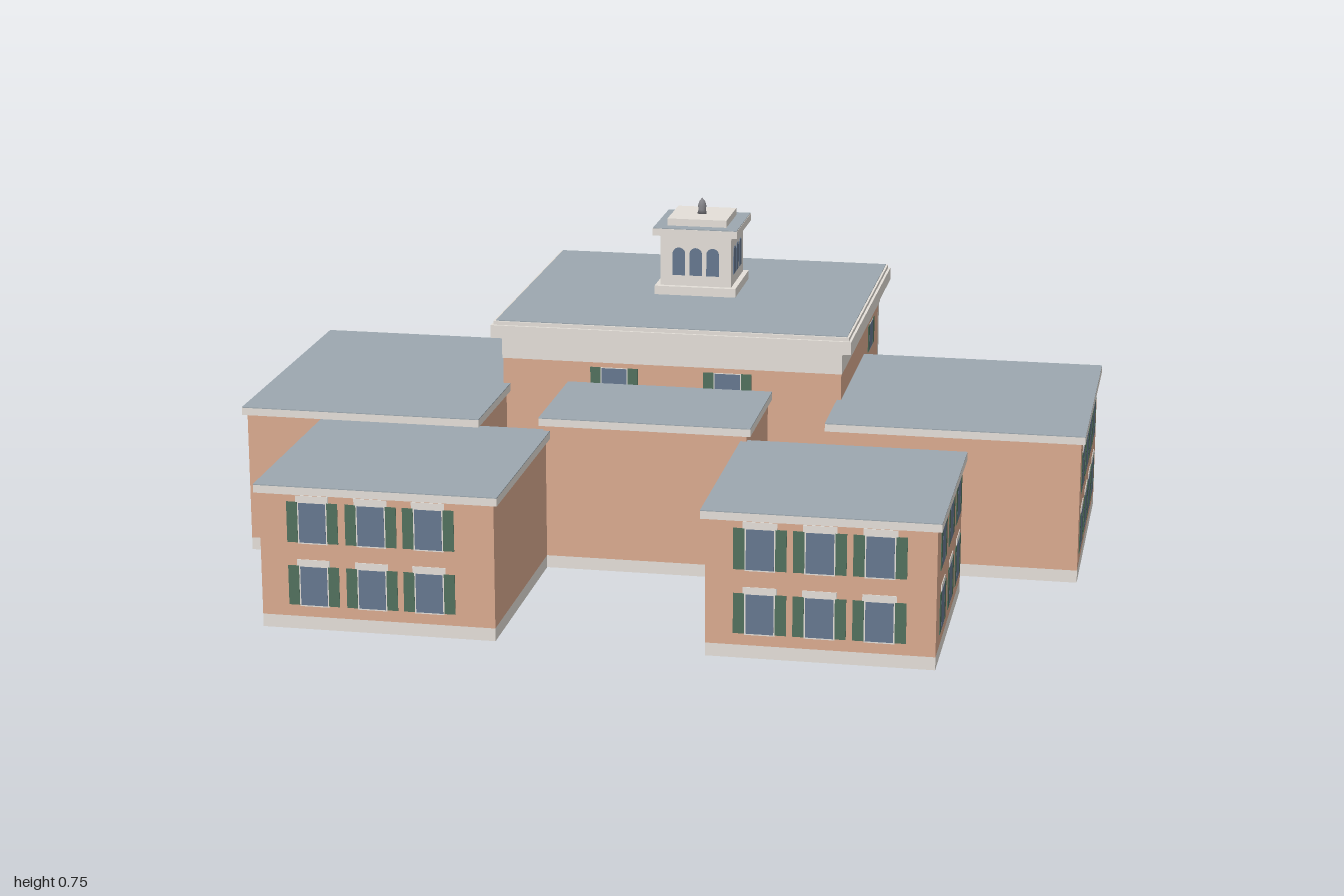
import * as THREE from 'three';

const mat = (name, color) => Object.assign(new THREE.MeshStandardMaterial({ color }), { name });

export function createModel() {
  const brick = mat('brick', 0xdaaa8f), trim = mat('trim', 0xe4dfd8), roof = mat('roof slate', 0x9ca7af);
  const glass = mat('glass', 0x66788f), green = mat('shutter green', 0x52715d), metal = mat('metal', 0x85858a);
  const model = new THREE.Group();
  model.name = 'building';

  const add = (parent, name, geo, m, x = 0, y = 0, z = 0) => {
    const mesh = new THREE.Mesh(geo, m);
    mesh.name = name;
    mesh.position.set(x, y, z);
    parent.add(mesh);
    return mesh;
  };
  const group = (name, x = 0, y = 0, z = 0, ry = 0) => {
    const g = new THREE.Group();
    g.name = name;
    g.position.set(x, y, z);
    g.rotation.y = ry;
    model.add(g);
    return g;
  };
  // Box from its limits on each axis
  const span = (parent, name, m, x0, x1, y0, y1, z0, z1) =>
    add(parent, name, new THREE.BoxGeometry(x1 - x0, y1 - y0, z1 - z0), m, (x0 + x1) / 2, (y0 + y1) / 2, (z0 + z1) / 2);

  // Brick block with a stone base, overhanging cornice and flat roof
  function block(name, x0, x1, z0, z1, top) {
    const g = group(name);
    const layer = (label, m, inset, y0, y1) =>
      span(g, label, m, x0 + inset, x1 - inset, y0, y1, z0 + inset, z1 - inset);
    layer('base', trim, 0.01, 0, 0.03);
    layer('walls', brick, 0.01, 0.03, top - 0.02);
    layer('cornice', trim, 0, top - 0.02, top - 0.002);
    layer('roof', roof, 0, top - 0.002, top);
  }
  block('leftFrontPavilion', 0.207, 0.736, 0.336, 0.877, 0.339);
  block('rightFrontPavilion', -0.807, -0.248, 0.336, 0.875, 0.339);
  block('leftWing', 0.39, 1, -0.397, 0.24, 0.361);
  block('rightWing', -1, -0.418, -0.378, 0.358, 0.361);
  block('frontLink', -0.273, 0.232, 0.026, 0.358, 0.373);

  // Shuttered window on a wall; ry turns it from the front to another side
  const FRONT = 0, BACK = Math.PI, LEFT = Math.PI / 2, RIGHT = -Math.PI / 2;
  function shutteredWindow(x, z, ry, y0, y1, lintel = true) {
    const g = group('window', x, 0, z, ry);
    span(g, 'frame', trim, -0.034, 0.034, y0 - 0.003, y1, -0.002, 0.0007);
    span(g, 'pane', glass, -0.031, 0.031, y0, y1 - 0.002, -0.002, 0.0014);
    for (const s of [-1, 1])
      span(g, 'shutter', green, s * 0.0465 - 0.0125, s * 0.0465 + 0.0125, y0, y1, -0.002, 0.0015);
    if (lintel) span(g, 'lintel', trim, -0.038, 0.038, y1, y1 + 0.015, -0.002, 0.0015);
  }
  const twoFloors = (x, z, ry) => {
    shutteredWindow(x, z, ry, 0.057, 0.15);
    shutteredWindow(x, z, ry, 0.205, 0.3);
  };
  // Front pavilions
  for (const x of [-0.675, -0.54, -0.408]) twoFloors(x, 0.865, FRONT);
  for (const x of [0.338, 0.47, 0.602]) twoFloors(x, 0.867, FRONT);
  for (const z of [0.738, 0.573, 0.417]) {
    twoFloors(0.726, z, LEFT);
    twoFloors(-0.797, z, RIGHT);
  }
  // Wings
  for (const z of [0.125, -0.02, -0.15, -0.28]) twoFloors(0.99, z, LEFT);
  for (const z of [0.24, 0.08, -0.09, -0.26]) twoFloors(-0.99, z, RIGHT);
  for (let i = 0; i < 4; i++) {
    twoFloors(0.49 + i * 0.135, -0.387, BACK);
    twoFloors(-0.51 - i * 0.13, -0.368, BACK);
  }

  // Main hall: raised floor inside a thin stone skirt
  const hall = group('mainHall');
  span(hall, 'floor', trim, -0.435, 0.4, 0.036, 0.04, -0.667, 0.035);
  for (const x of [-0.437, 0.396]) span(hall, 'skirt', trim, x, x + 0.006, 0, 0.04, -0.69, 0.036);
  span(hall, 'frontSkirt', trim, -0.435, 0.4, 0, 0.04, 0.031, 0.036);
  span(hall, 'walls', brick, -0.435, 0.4, 0.04, 0.43, -0.668, 0.035);
  span(hall, 'frieze', trim, -0.437, 0.402, 0.425, 0.48, -0.69, 0.037);
  span(hall, 'cornice', trim, -0.46, 0.426, 0.48, 0.512, -0.715, 0.058);
  span(hall, 'upperCornice', trim, -0.454, 0.42, 0.512, 0.521, -0.709, 0.052);
  span(hall, 'roof', roof, -0.449, 0.415, 0.521, 0.523, -0.704, 0.047);
  for (const x of [-0.413, -0.165, 0.13, 0.378])
    span(hall, 'backPilaster', trim, x - 0.022, x + 0.022, 0, 0.425, -0.69, -0.667);
  for (const x of [-0.158, 0.122]) shutteredWindow(x, 0.035, FRONT, 0.345, 0.413, false);
  for (const [x, ry] of [[0.4, LEFT], [-0.435, RIGHT]]) {
    shutteredWindow(x, -0.528, ry, 0.345, 0.413, false);
    shutteredWindow(x, -0.528, ry, 0.14, 0.3);
  }
  for (const x of [-0.29, 0.255]) {
    shutteredWindow(x, -0.668, BACK, 0.345, 0.413, false);
    shutteredWindow(x, -0.668, BACK, 0.15, 0.29);
  }
  shutteredWindow(-0.017, -0.668, BACK, 0.345, 0.413, false);

  // Back entrance with a hanging lantern
  const door = group('entrance', -0.017, 0, -0.668, BACK);
  span(door, 'doorFrame', trim, -0.065, 0.065, 0.12, 0.315, -0.002, 0.004);
  for (const s of [-1, 1]) span(door, 'doorLeaf', glass, s * 0.027 - 0.024, s * 0.027 + 0.024, 0.125, 0.3, 0, 0.006);
  add(door, 'lantern', new THREE.CylinderGeometry(0.003, 0.008, 0.045, 8), metal, 0, 0.403, 0.027);

  // Porch: hollow platform, steps and two balconied halves on columns
  const porch = group('porch');
  span(porch, 'platformTop', trim, -0.37, 0.342, 0.117, 0.125, -0.79, -0.667);
  span(porch, 'platformFront', trim, -0.37, 0.342, 0, 0.117, -0.79, -0.784);
  for (const x of [-0.37, 0.336]) span(porch, 'platformSide', trim, x, x + 0.006, 0, 0.117, -0.784, -0.667);
  for (let i = 0; i < 5; i++)
    span(porch, 'step', trim, -0.145, 0.111, 0, 0.105 - i * 0.021, -0.808 - i * 0.018, -0.79 - i * 0.018);
  const columnShape = [[0, 0], [0.016, 0], [0.016, 0.012], [0.011, 0.018], [0.009, 0.155], [0.015, 0.165], [0.015, 0.175], [0, 0.175]]
    .map(([r, y]) => new THREE.Vector2(r, y));
  const column = new THREE.LatheGeometry(columnShape, 12);
  for (const [x0, x1] of [[-0.37, -0.165], [0.132, 0.342]]) {
    span(porch, 'entablature', trim, x0 + 0.004, x1 - 0.004, 0.3, 0.345, -0.784, -0.667);
    span(porch, 'balconyFront', trim, x0, x1, 0.335, 0.375, -0.788, -0.78);
    for (const x of [x0, x1 - 0.008]) span(porch, 'balconySide', trim, x, x + 0.008, 0.335, 0.375, -0.78, -0.667);
    for (const x of [x0 + 0.024, x0 + 0.062, x1 - 0.024]) add(porch, 'column', column, trim, x, 0.125, -0.77);
  }

  // Cupola
  const cupola = group('cupola', -0.015, 0, -0.38);
  const tier = (name, m, half, y0, y1) => span(cupola, name, m, -half, half, y0, y1, -half, half);
  tier('cupolaBase', trim, 0.103, 0.52, 0.545);
  tier('cupolaBody', trim, 0.09, 0.545, 0.675);
  tier('cupolaCornice', trim, 0.107, 0.675, 0.693);
  tier('cupolaRoof', roof, 0.106, 0.693, 0.695);
  tier('cupolaCap', trim, 0.075, 0.695, 0.713);
  const finial = [[0, 0], [0.012, 0], [0.009, 0.01], [0.011, 0.02], [0.007, 0.032], [0, 0.04]].map(([r, y]) => new THREE.Vector2(r, y));
  add(cupola, 'finial', new THREE.LatheGeometry(finial, 12), metal, 0, 0.713, 0);

  // Three arched windows on each side of the cupola
  const arch = new THREE.Shape();
  arch.moveTo(-0.016, 0).lineTo(0.016, 0).lineTo(0.016, 0.055);
  arch.absarc(0, 0.055, 0.016, 0, Math.PI, false);
  const archGeo = new THREE.ExtrudeGeometry(arch, { depth: 0.0025, bevelEnabled: false, curveSegments: 8 });
  for (let side = 0; side < 4; side++) {
    const face = new THREE.Group();
    face.name = 'cupolaWindows';
    face.rotation.y = side * Math.PI / 2;
    cupola.add(face);
    for (const x of [-0.043, 0, 0.043]) add(face, 'archedWindow', archGeo, glass, x, 0.572, 0.089);
  }
  return model;
}
